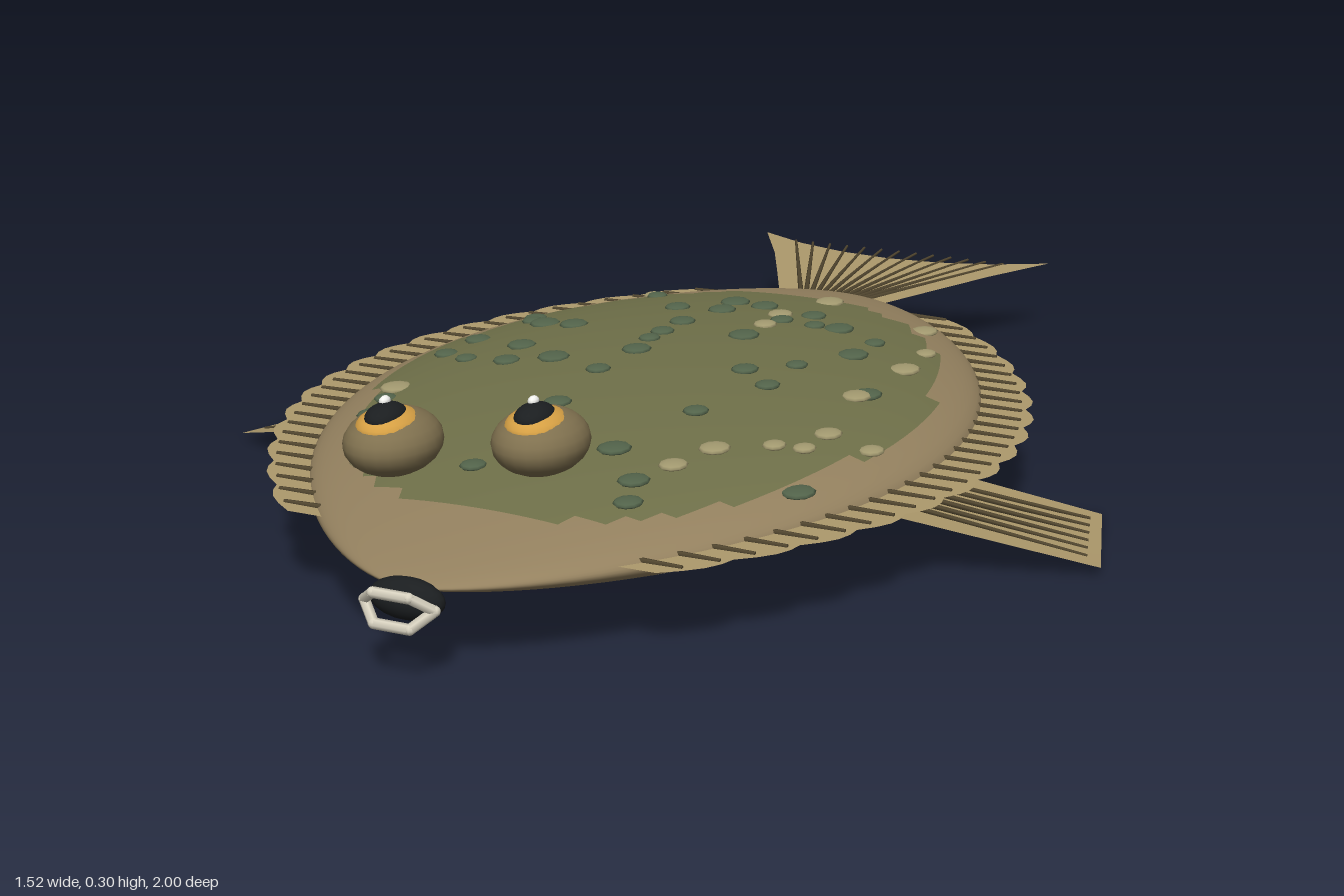
import * as THREE from 'three';

const mat = (color, side = THREE.FrontSide) => new THREE.MeshStandardMaterial({ color, side });
const V = (x, y, z) => new THREE.Vector3(x, y, z);

const MID = 0.132, BACK = -0.65, NOSE = 0.95;
// Half width and half thickness of the flat body at z
const sine = (z) => Math.max(0, Math.sin(Math.PI * (z - BACK) / (NOSE - BACK)));
const width = (z) => 0.5 * Math.pow(sine(z), z < 0.15 ? 0.6 : 0.65);
const thick = (z) => 0.094 * Math.pow(width(z) / 0.5, 1.15);
const topY = (x, z) => MID + thick(z) * Math.sqrt(Math.max(0, 1 - (x / width(z)) ** 2));
const inOval = (x, z, a, b) => (x / a) ** 2 + ((z - 0.15) / b) ** 2 < 1;

export function createModel() {
  const model = new THREE.Group();
  const skin = mat(0x94815f), finSkin = mat(0xae9a6c, THREE.DoubleSide), rayMat = mat(0x51462f);
  const green = mat(0x53644b), tan = mat(0xa39a70), dark = mat(0x1b1e20);

  const add = (name, geo, material, parent = model) => {
    const m = new THREE.Mesh(geo, material);
    m.name = name;
    parent.add(m);
    return m;
  };
  const ellipsoid = (name, material, p, s, parent = model, seg = 24) => {
    const m = add(name, new THREE.SphereGeometry(1, seg, Math.max(6, seg / 2)), material, parent);
    m.position.set(...p);
    m.scale.set(...s);
    return m;
  };
  // Tapered rod between two points
  const rod = (name, a, b, r0, r1, material, parent = model) => {
    const d = b.clone().sub(a);
    const m = add(name, new THREE.CylinderGeometry(r1, r0, d.length(), 6), material, parent);
    m.position.copy(a).addScaledVector(d, 0.5);
    m.quaternion.setFromUnitVectors(V(0, 1, 0), d.normalize());
    return m;
  };
  // Thin horizontal sheet from [x, z] points
  const sheet = (name, pts, y, parent) => {
    const shape = new THREE.Shape(pts.map(([x, z]) => new THREE.Vector2(x, z)));
    const geo = new THREE.ShapeGeometry(shape).rotateX(Math.PI / 2);
    add(name, geo, finSkin, parent).position.y = y;
  };

  // Body: elliptical cross-sections from tail to nose, split by marking
  const rows = 56, cols = 64, pos = [], faces = { flank: [], backMarking: [], belly: [] }, all = [];
  for (let i = 0; i <= rows; i++) {
    const z = 0.15 - 0.8 * Math.cos(Math.PI * i / rows);
    for (let j = 0; j < cols; j++) {
      const a = j / cols * Math.PI * 2;
      pos.push(width(z) * Math.cos(a), MID + thick(z) * Math.sin(a), z);
    }
  }
  for (let i = 0; i < rows; i++) for (let j = 0; j < cols; j++) {
    const a = i * cols + j, b = i * cols + (j + 1) % cols, c = a + cols, d = b + cols;
    const quad = [a, b, c, b, d, c];
    const x = (pos[a * 3] + pos[d * 3]) / 2, y = (pos[a * 3 + 1] + pos[d * 3 + 1]) / 2;
    const z = (pos[a * 3 + 2] + pos[d * 3 + 2]) / 2;
    const part = y > MID ? (inOval(x, z, 0.43, 0.61) ? 'backMarking' : 'flank')
      : (inOval(x, z, 0.485, 0.68) ? 'belly' : 'flank');
    faces[part].push(...quad);
    all.push(...quad);
  }
  const body = new THREE.BufferGeometry();
  body.setAttribute('position', new THREE.Float32BufferAttribute(pos, 3));
  body.setIndex(all);
  body.computeVertexNormals();
  const skins = { flank: skin, backMarking: mat(0x6f7049), belly: mat(0xc9c2b0) };
  for (const part in faces) add(part, body.clone().setIndex(faces[part]), skins[part]);

  // Spots on the back, as x, z pairs
  const darkSpots = [-.23, -.34, -.06, -.3, 0, -.29, .1, -.27, .07, -.2, .13, -.2, .17, -.21, -.05, -.22,
    -.13, -.21, -.35, -.1, -.34, -.07, -.3, -.04, -.24, -.03, -.07, -.1, -.07, -.02, -.07, .03, .06, -.06,
    -.26, .12, -.37, .07, -.38, .16, -.32, .2, -.17, .18, -.06, .1, .14, .12, .2, .17, .25, -.17, .25, -.07,
    .34, .1, -.24, .21, -.07, .22, -.36, .39, -.34, .46, -.3, .54, -.06, .38, .15, .33, -.05, .46, .1, .51,
    .17, .59, .19, .65, -.07, .63, .2, .05, .38, .48];
  const tanSpots = [-.27, -.41, .07, -.42, .27, -.36, .05, -.24, .06, -.15, .33, -.2, .34, -.07, .33, .12,
    .35, .29, .42, .29, .34, .36, -.37, .34, .23, .44, .2, .52, -.25, .64, .3, .38];
  const spots = new THREE.Group();
  spots.name = 'spots';
  model.add(spots);
  [[darkSpots, green], [tanSpots, tan]].forEach(([list, material]) => {
    for (let i = 0; i < list.length; i += 2) {
      const x = list[i], z = list[i + 1], r = 0.018 + 0.004 * ((i * 7) % 5) / 2;
      ellipsoid('spot', material, [x, topY(x, z) + 0.001, z], [r, 0.006, r * 1.15], spots, 10);
    }
  });

  // Scalloped side fins with rays
  for (const s of [1, -1]) {
    const fin = new THREE.Group();
    fin.name = s > 0 ? 'leftFringeFin' : 'rightFringeFin';
    model.add(fin);
    const z0 = -0.555, z1 = 0.78, n = 60, inner = [], outer = [];
    const rim = (t) => 0.062 + 0.025 * Math.sin(Math.PI * t);
    for (let i = 0; i <= n; i++) {
      const t = i / n, z = z0 + (z1 - z0) * t;
      const lobe = 0.014 * Math.abs(Math.sin(Math.PI * t * 15));
      inner.push([s * (width(z) - 0.03), z]);
      outer.push([s * (width(z) + rim(t) - 0.01 + lobe), z]);
    }
    sheet('membrane', [...inner, ...outer.reverse()], 0.14, fin);
    for (let i = 0; i < 30; i++) {
      const t = (i + 0.3) / 30, z = z0 + (z1 - z0) * t, w = width(z);
      rod('ray', V(s * (w - 0.02), 0.141, z), V(s * (w + rim(t) * 0.8), 0.141, z), 0.005, 0.003, rayMat, fin);
    }
  }

  // Tail fan: concave sides, notched end
  const tail = new THREE.Group();
  tail.name = 'tail';
  model.add(tail);
  const edge = [[0.08, -0.56], [0.11, -0.62], [0.16, -0.73], [0.22, -0.86], [0.295, -1],
    [0.2, -0.95], [0.1, -0.92], [0, -0.91]];
  sheet('tailMembrane', [...edge, ...edge.slice(0, -1).reverse().map(([x, z]) => [-x, z])], 0.138, tail);
  for (let i = -6; i <= 6; i++) {
    rod('tailRay', V(i * 0.011, 0.138, -0.62), V(i * 0.036, 0.138, -0.967 + Math.abs(i) * 0.001),
      0.005, 0.0025, rayMat, tail);
  }

  // Drooping paired fins below the body
  for (const s of [1, -1]) {
    const fin = new THREE.Group();
    fin.name = s > 0 ? 'leftPairedFin' : 'rightPairedFin';
    model.add(fin);
    const rootF = V(s * 0.42, 0.127, 0.39), rootB = V(s * 0.42, 0.105, 0.11);
    const tipF = V(s * 0.758, 0.018, 0.21), tipB = V(s * 0.685, 0.004, -0.05);
    const geo = new THREE.BufferGeometry().setFromPoints([rootF, tipF, tipB, rootB]);
    geo.setIndex(s > 0 ? [0, 1, 2, 0, 2, 3] : [0, 2, 1, 0, 3, 2]);
    geo.computeVertexNormals();
    add('finMembrane', geo, finSkin, fin);
    for (let i = 1; i < 7; i++) {
      const a = rootF.clone().lerp(rootB, 0.15 + i * 0.1);
      const tip = tipF.clone().lerp(tipB, i / 7);
      rod('finRay', a, a.clone().lerp(tip, 0.94), 0.005, 0.003, rayMat, fin);
    }
  }

  // Both eyes sit on the upper side
  const eyeSkin = mat(0x80714f), gold = mat(0xd6a044), white = mat(0xf4f4f0);
  for (const [name, x, z] of [['rightEye', -0.17, 0.685], ['leftEye', 0.025, 0.597]]) {
    const eye = new THREE.Group();
    eye.name = name;
    eye.position.set(x, 0.236, z);
    model.add(eye);
    ellipsoid('eyeball', eyeSkin, [0, 0, 0], [0.07, 0.049, 0.084], eye);
    ellipsoid('iris', gold, [0, 0.026, 0.01], [0.047, 0.027, 0.058], eye);
    ellipsoid('pupil', dark, [0, 0.042, 0.018], [0.028, 0.02, 0.04], eye);
    ellipsoid('glint', white, [-0.006, 0.062, 0.01], [0.008, 0.008, 0.011], eye, 10);
  }

  // Mouth with a pale six-sided lip
  const mouth = new THREE.Group();
  mouth.name = 'mouth';
  model.add(mouth);
  ellipsoid('mouthInside', dark, [0, 0.115, 0.945], [0.058, 0.03, 0.027], mouth);
  const lip = [V(0.055, 0.113, 0.966), V(0.028, 0.135, 0.988), V(-0.028, 0.135, 0.988),
    V(-0.055, 0.113, 0.966), V(-0.028, 0.09, 0.988), V(0.028, 0.09, 0.988)];
  const lipMat = mat(0xd8d2c0);
  lip.forEach((p, i) => {
    rod('lip', p, lip[(i + 1) % 6], 0.008, 0.008, lipMat, mouth);
    ellipsoid('lipJoint', lipMat, p.toArray(), [0.008, 0.008, 0.008], mouth, 10);
  });
  return model;
}
